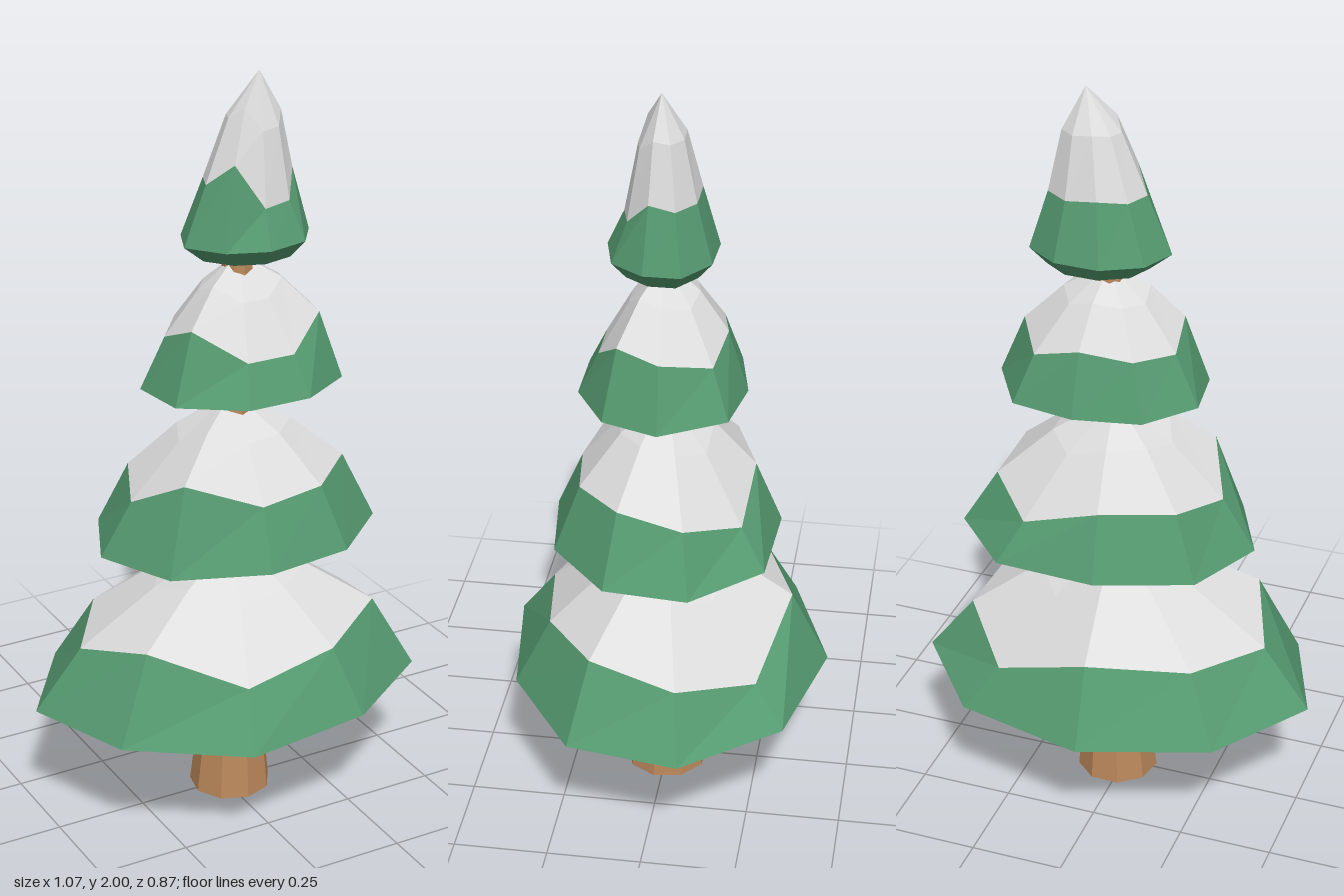
import * as THREE from 'three';

const material = (name, color) => {
  const m = new THREE.MeshStandardMaterial({ color, flatShading: true });
  m.name = name;
  return m;
};

// Skins a stack of equal rings, listed from inside-bottom to top; rings run clockwise seen from above
function loft(name, rings, mat) {
  const pos = [];
  const tri = (...pts) => pts.forEach((p) => pos.push(p.x, p.y, p.z));
  for (let r = 0; r + 1 < rings.length; r++) {
    const lo = rings[r], up = rings[r + 1], n = lo.length;
    for (let i = 0; i < n; i++) {
      const j = (i + 1) % n;
      if (lo[i] !== lo[j]) tri(lo[j], lo[i], up[i]);
      if (up[i] !== up[j]) tri(lo[j], up[i], up[j]);
    }
  }
  const geo = new THREE.BufferGeometry();
  geo.setAttribute('position', new THREE.Float32BufferAttribute(pos, 3));
  geo.computeVertexNormals();
  const mesh = new THREE.Mesh(geo, mat);
  mesh.name = name;
  return mesh;
}

// Each tier: rim outline as x,z pairs, and the height of the snow edge above each rim corner
const TIERS = [
  {
    name: 'bottomTier', rimY: 0.34, baseY: 0.282, cx: 0.02, apex: [0.025, 0.75, 0],
    snowScale: 0.77, baseScale: 0.52, bulge: 0.012,
    rim: [-0.02, -0.435, 0.33, -0.35, 0.53, -0.1, 0.48, 0.195, 0.21, 0.38, -0.145, 0.43, -0.425, 0.235, -0.535, -0.05, -0.355, -0.315],
    snow: [0.54, 0.43, 0.49, 0.54, 0.51, 0.48, 0.565, 0.5, 0.52],
  },
  {
    name: 'lowerMiddleTier', rimY: 0.772, baseY: 0.727, cx: 0.025, apex: [0.025, 1.16, 0],
    snowScale: 0.77, baseScale: 0.58, bulge: 0.015,
    rim: [-0.02, -0.3, 0.25, -0.285, 0.415, -0.11, 0.395, 0.11, 0.22, 0.265, -0.02, 0.297, -0.265, 0.205, -0.36, 0, -0.265, -0.21],
    snow: [0.94, 0.87, 0.92, 0.955, 0.94, 0.93, 1.0, 0.91, 0.94],
  },
  {
    name: 'upperMiddleTier', rimY: 1.195, baseY: 1.157, cx: 0.055, apex: [0.04, 1.535, 0],
    snowScale: 0.76, baseScale: 0.6, bulge: 0.015,
    rim: [0.065, -0.215, 0.235, -0.185, 0.333, -0.02, 0.28, 0.125, 0.135, 0.21, -0.04, 0.21, -0.195, 0.105, -0.215, -0.05, -0.11, -0.18],
    snow: [1.36, 1.32, 1.355, 1.375, 1.3, 1.3, 1.38, 1.33, 1.34],
  },
  {
    name: 'topTier', rimY: 1.578, baseY: 1.532, cx: 0.085, apex: [0.1, 2, 0],
    snowScale: 0.69, baseScale: 0.72, bulge: 0.025,
    rim: [0.02, -0.135, 0.14, -0.13, 0.23, -0.065, 0.23, 0.03, 0.17, 0.115, 0.055, 0.143, -0.05, 0.105, -0.12, 0.015, -0.08, -0.08],
    snow: [1.74, 1.73, 1.73, 1.745, 1.68, 1.675, 1.79, 1.73, 1.73],
  },
];

function makeTier(t, green, white) {
  const n = t.snow.length;
  const ring = (scale, heightAt) => Array.from({ length: n }, (_, i) => new THREE.Vector3(
    t.cx + (t.rim[2 * i] - t.cx) * scale, heightAt(i), t.rim[2 * i + 1] * scale));
  const point = (x, y, z) => Array(n).fill(new THREE.Vector3(x, y, z));

  const apex = point(...t.apex);
  const rim = ring(1, () => t.rimY);
  const edge = ring(t.snowScale, (i) => t.snow[i]);
  // Rounded shoulder between the snow edge and the tip
  const shoulder = edge.map((p) => {
    const s = p.clone().lerp(apex[0], 0.5);
    const out = new THREE.Vector3(s.x - t.apex[0], 0, s.z).normalize();
    s.addScaledVector(out, t.bulge * 0.5);
    s.y += t.bulge;
    return s;
  });

  const group = new THREE.Group();
  group.name = t.name;
  group.add(
    loft('needles', [point(t.cx, t.baseY + 0.02, 0), ring(t.baseScale, () => t.baseY), rim, edge], green),
    loft('snowCap', [edge, shoulder, apex], white),
  );
  return group;
}

// Tapered nine-sided trunk, leaning slightly towards the top
function makeTrunk(mat) {
  const sides = 9;
  const sections = [[0, 0, 0.02], [0, 0.11, 0.02], [0.29, 0.081, 0.025], [0.7, 0.066, 0.026], [1.12, 0.056, 0.027], [1.56, 0.038, 0.042], [1.56, 0, 0.042]];
  const rings = sections.map(([y, r, cx]) => {
    if (r === 0) return Array(sides).fill(new THREE.Vector3(cx, y, 0));
    return Array.from({ length: sides }, (_, i) => {
      const a = (i / sides) * Math.PI * 2 + 0.2;
      return new THREE.Vector3(cx + Math.cos(a) * r, y, Math.sin(a) * r);
    });
  });
  return loft('trunk', rings, mat);
}

export function createModel() {
  const green = material('needle green', 0x559a70);
  const white = material('snow white', 0xdedede);
  const brown = material('bark brown', 0xba875a);

  const tree = new THREE.Group();
  tree.name = 'snowyTree';
  tree.add(makeTrunk(brown), ...TIERS.map((t) => makeTier(t, green, white)));
  return tree;
}
